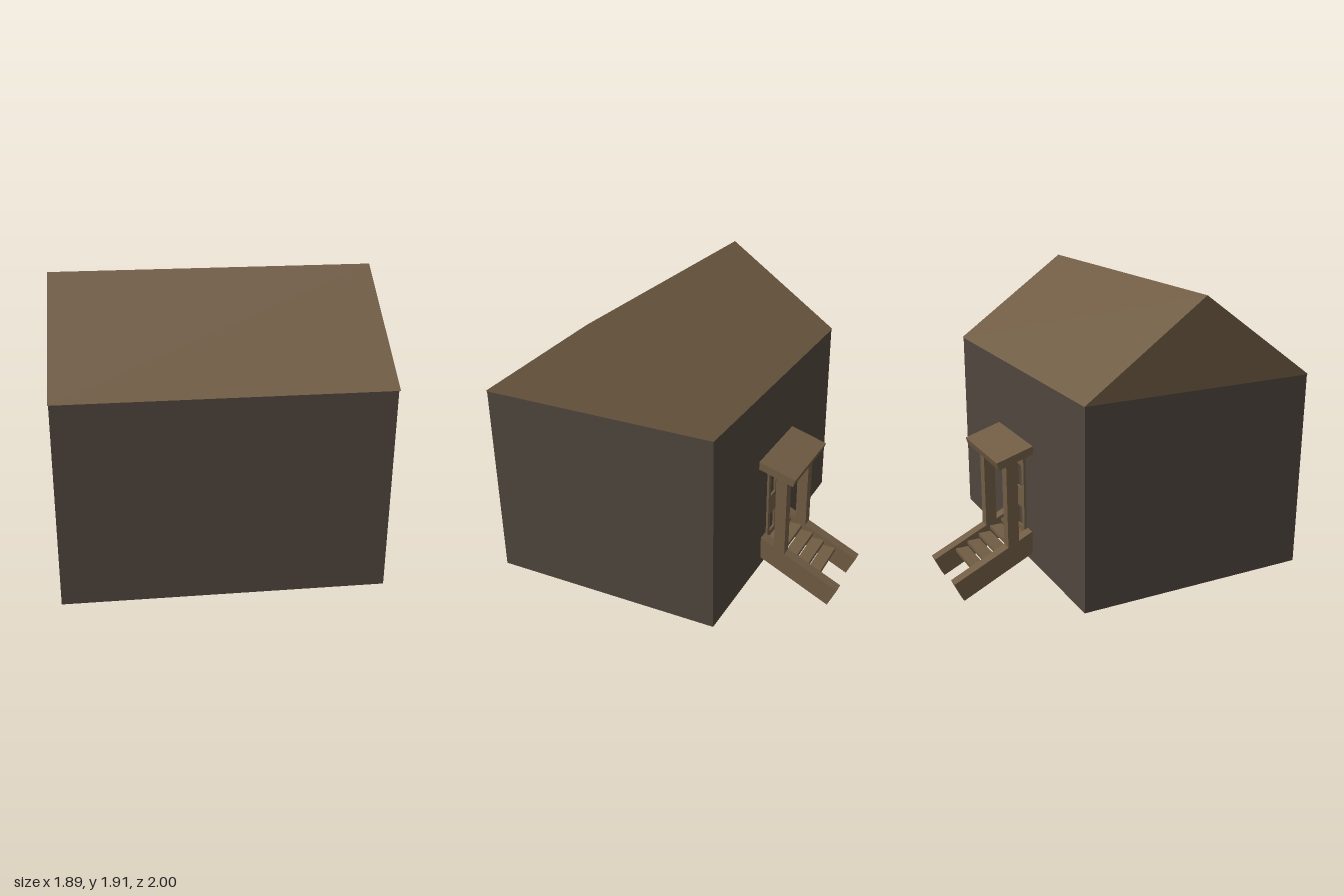
import * as THREE from 'three';

const wood = new THREE.MeshStandardMaterial({ color: 0x705c44, flatShading: true });
const wall = new THREE.MeshStandardMaterial({ color: 0x4f463d, flatShading: true });

export function createModel() {
  const model = new THREE.Group();

  const add = (name, geometry, material) => {
    const mesh = new THREE.Mesh(geometry, material);
    mesh.name = name;
    model.add(mesh);
  };

  // Box given by its limits on each axis
  const box = (name, [x0, x1], [y0, y1], [z0, z1], material = wood) => {
    const g = new THREE.BoxGeometry(x1 - x0, y1 - y0, z1 - z0);
    g.translate((x0 + x1) / 2, (y0 + y1) / 2, (z0 + z1) / 2);
    add(name, g, material);
  };

  // Side profile of [z, y] points, extruded from x0 to x1
  const profile = (name, points, x0, x1) => {
    const shape = new THREE.Shape(points.map(([z, y]) => new THREE.Vector2(z, y)));
    const g = new THREE.ExtrudeGeometry(shape, { depth: x1 - x0, bevelEnabled: false });
    g.rotateY(-Math.PI / 2).translate(x1, 0, 0);
    add(name, g, wood);
  };

  // House body and gable roof
  box('houseBody', [-0.94, 0.935], [0.165, 1.382], [-0.48, 0.995], wall);
  profile('gableRoof', [[-0.485, 1.382], [1, 1.382], [0.26, 1.91]], -0.945, 0.943);

  // Sloped porch roof
  profile('porchRoof', [[-0.478, 0.945], [-0.715, 0.873], [-0.7, 0.826], [-0.478, 0.894]], -0.245, 0.297);

  // Stair rails, each carrying a porch post
  for (const [side, x0, x1] of [['right', -0.212, -0.143], ['left', 0.17, 0.238]]) {
    profile(side + 'StairRail', [[-0.478, 0.37], [-1, 0.123], [-0.942, 0], [-0.478, 0.223]], x0, x1);
    box(side + 'PorchPost', [x0, x1], [0.28, 0.86], [-0.642, -0.57]);
  }

  // Open treads between the rails
  for (let i = 0; i < 5; i++) {
    const z = -0.857 + i * 0.08;
    const y = 0.15 + i * 0.038;
    box('stairTread' + (i + 1), [-0.145, 0.172], [y, y + 0.022], [z, Math.min(z + 0.083, -0.478)]);
  }

  // Door with four cut-out panels
  const rect = (Type, x0, x1, y0, y1) => new Type([[x0, y0], [x1, y0], [x1, y1], [x0, y1]]
    .map(([x, y]) => new THREE.Vector2(x, y)));
  const door = rect(THREE.Shape, -0.125, 0.16, 0.3, 0.835);
  for (const [x0, x1] of [[-0.09, -0.015], [0.05, 0.125]]) {
    for (const [y0, y1] of [[0.36, 0.49], [0.62, 0.77]]) {
      door.holes.push(rect(THREE.Path, x0, x1, y0, y1));
    }
  }
  const doorGeometry = new THREE.ExtrudeGeometry(door, { depth: 0.016, bevelEnabled: false });
  doorGeometry.translate(0, 0, -0.494);
  add('door', doorGeometry, wood);

  return model;
}
